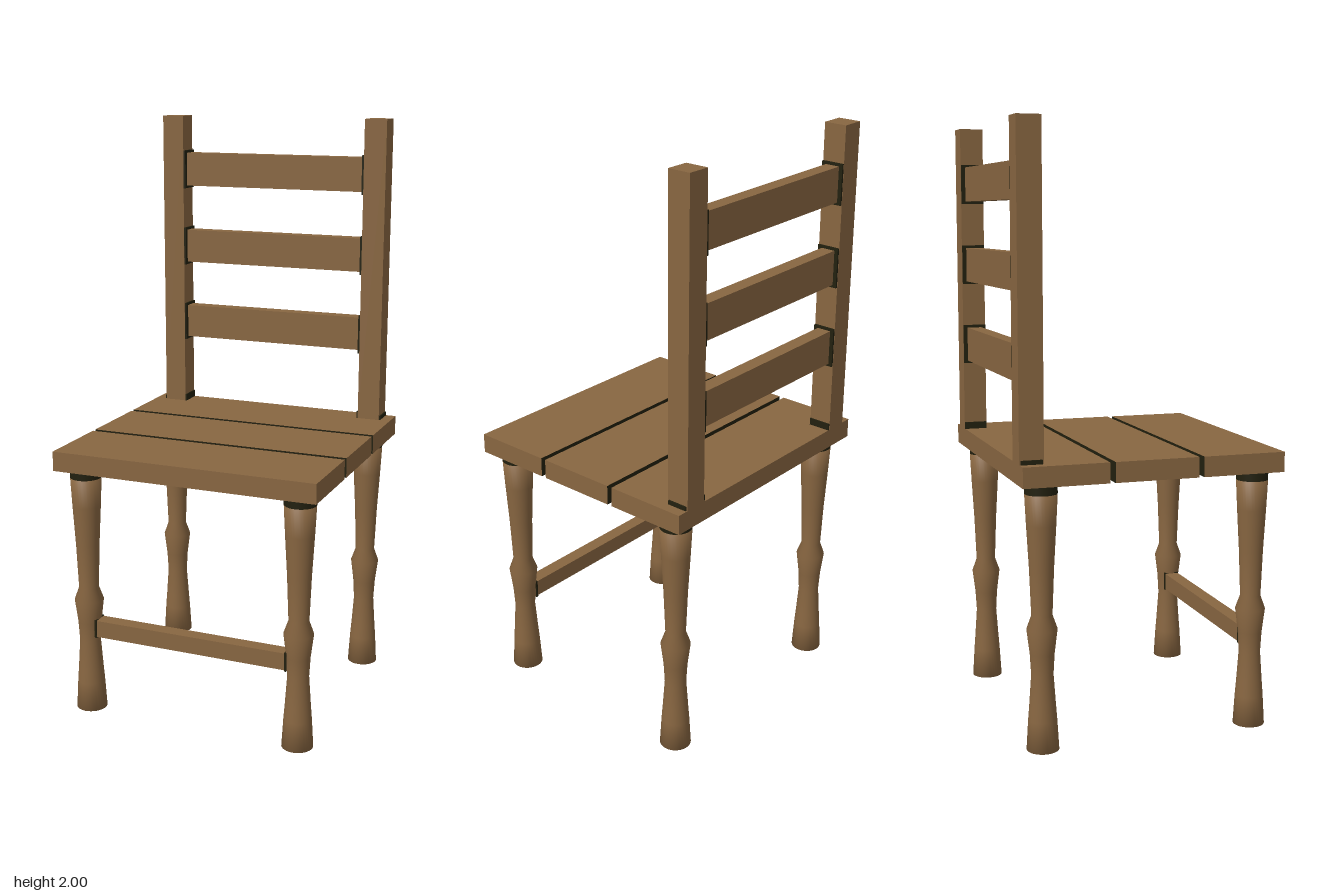
import * as THREE from 'three';

export function createModel() {
  const chair = new THREE.Group();
  chair.name = 'chair';
  const wood = new THREE.MeshStandardMaterial({ color: 0x886641 });
  wood.name = 'brown wood';
  const dark = new THREE.MeshStandardMaterial({ color: 0x22200f });
  dark.name = 'dark joint';

  function add(name, geometry, material, x, y, z) {
    const mesh = new THREE.Mesh(geometry, material);
    mesh.name = name;
    mesh.position.set(x, y, z);
    chair.add(mesh);
  }
  // Box given by its size, its bottom height and its centre in x and z
  function board(name, w, h, d, x, bottom, z, material = wood) {
    add(name, new THREE.BoxGeometry(w, h, d), material, x, bottom + h / 2, z);
  }

  // Seat: three planks with narrow gaps, dark on the edges facing a gap
  for (const z of [-0.3, 0, 0.3]) {
    const sides = [wood, wood, wood, wood, z > 0 ? wood : dark, z < 0 ? wood : dark];
    board('seatPlank', 0.924, 0.067, 0.282, 0, 0.873, z, sides);
  }

  // Turned legs: flared foot, waist, ring, tapered upper part, dark collar under the seat
  const profile = [
    [0, 0], [0.053, 0], [0.047, 0.1], [0.043, 0.15], [0.036, 0.25],
    [0.04, 0.32], [0.05, 0.4], [0.034, 0.445], [0.04, 0.6],
    [0.048, 0.74], [0.053, 0.84], [0, 0.84],
  ].map(([r, y]) => new THREE.Vector2(r, y));
  const legGeometry = new THREE.LatheGeometry(profile, 32);
  const collarGeometry = new THREE.CylinderGeometry(0.053, 0.053, 0.035, 32);
  for (const x of [-0.383, 0.383]) {
    for (const z of [-0.362, 0.362]) {
      add(z > 0 ? 'frontLeg' : 'backLeg', legGeometry, wood, x, 0, z);
      add('legCollar', collarGeometry, dark, x, 0.8575, z);
    }
  }

  // Stretcher between the front legs
  board('frontStretcher', 0.72, 0.059, 0.05, 0, 0.274, 0.362);

  // Back slats
  const slatBottoms = [1.188, 1.47, 1.75];
  for (const y of slatBottoms) board('backSlat', 0.69, 0.118, 0.05, 0, y, -0.403);

  // Back posts, with thin dark plates at every joint
  for (const side of [-1, 1]) {
    board('backPost', 0.079, 1.06, 0.08, side * 0.382, 0.94, -0.402);
    for (const y of slatBottoms) {
      board('slatJoint', 0.008, 0.136, 0.078, side * 0.3395, y - 0.009, -0.402, dark);
    }
    board('postInnerJoint', 0.006, 0.024, 0.078, side * 0.3405, 0.94, -0.402, dark);
    board('postOuterJoint', 0.006, 0.014, 0.07, side * 0.4235, 0.94, -0.402, dark);
    board('stretcherJoint', 0.008, 0.065, 0.056, side * 0.347, 0.271, 0.362, dark);
  }

  return chair;
}
